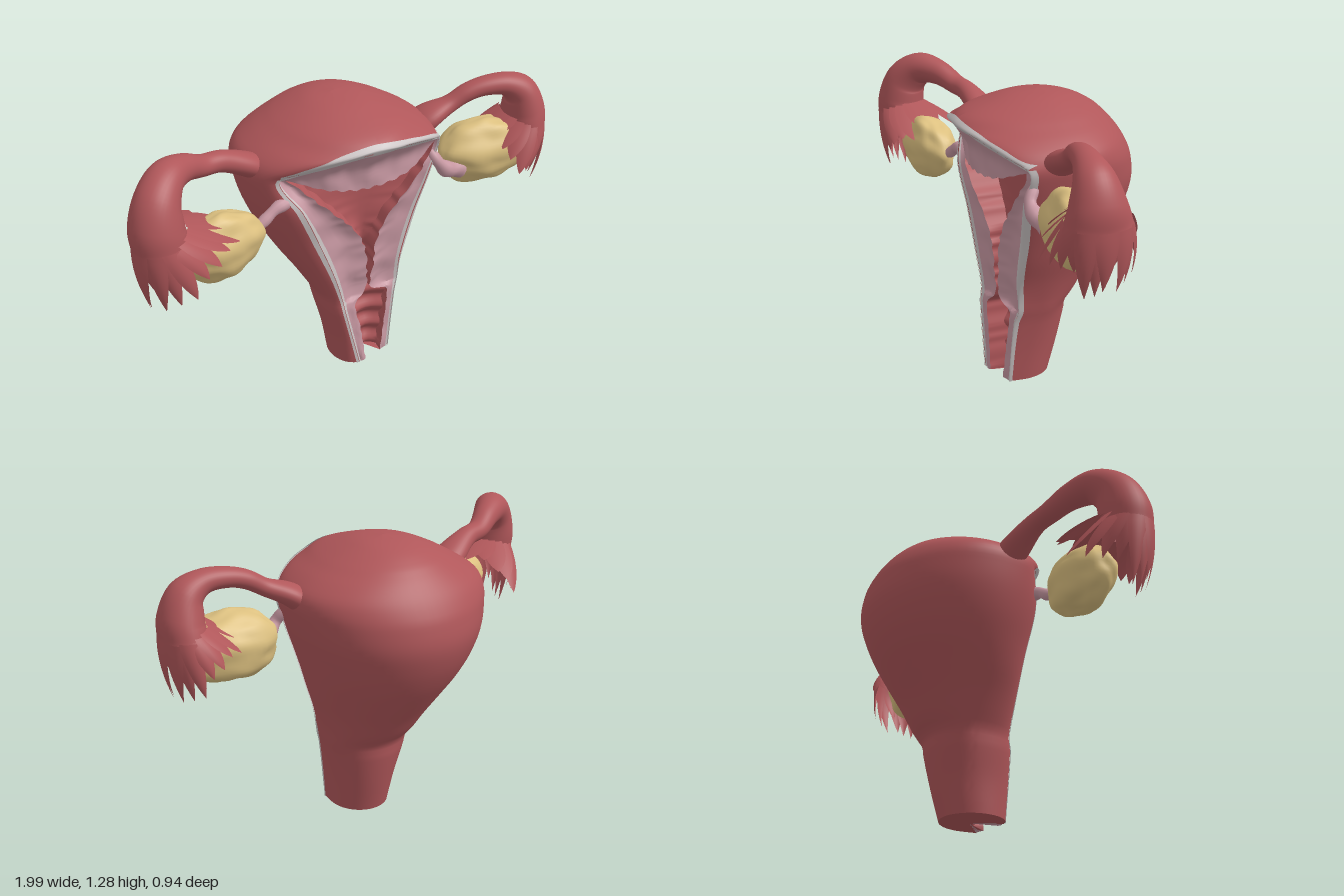
import * as THREE from 'three';
import { mergeVertices, toCreasedNormals } from 'three/addons/utils/BufferGeometryUtils.js';

const V = (x, y, z) => new THREE.Vector3(x, y, z);
const mix = THREE.MathUtils.lerp;
const mat = (name, color, side = THREE.FrontSide) => {
  const m = new THREE.MeshStandardMaterial({ color, side });
  m.name = name;
  return m;
};
// Smooth bumpy noise
const bump = (x, y, z, f) =>
  (Math.sin(f * x + 1.3 * Math.sin(f * 0.7 * y)) + Math.sin(f * 1.1 * y + 1.7 * Math.sin(f * 0.6 * z)) + Math.sin(f * 0.9 * z + 1.1 * Math.sin(f * 0.8 * x))) / 3;

// Surface through a grid of points; the front is columns x rows
function sheet(name, material, rows, crease = 0) {
  const w = rows[0].length, index = [];
  for (let i = 0; i + 1 < rows.length; i++) for (let j = 0; j + 1 < w; j++) {
    const a = i * w + j, b = a + 1, c = b + w, d = a + w;
    index.push(a, b, c, a, c, d);
  }
  let g = new THREE.BufferGeometry().setFromPoints(rows.flat());
  g.setIndex(index);
  g = mergeVertices(g, 1e-5);
  if (crease) g = toCreasedNormals(g, crease); else g.computeVertexNormals();
  const mesh = new THREE.Mesh(g, material);
  mesh.name = name;
  return mesh;
}
const range = (n, f) => Array.from({ length: n + 1 }, (_, i) => f(i / n, i));

// Smooth lookup in a table whose first column is the height
function sample(table, y) {
  let i = 0;
  while (i < table.length - 2 && table[i + 1][0] < y) i++;
  const a = table[i], b = table[i + 1], p = table[i - 1] || a, q = table[i + 2] || b;
  const h = b[0] - a[0], t = THREE.MathUtils.clamp((y - a[0]) / h, 0, 1);
  return a.map((v, k) => {
    const m0 = (b[k] - p[k]) / (b[0] - p[0]) * h, m1 = (q[k] - v) / (q[0] - a[0]) * h;
    return v * (1 + t * t * (2 * t - 3)) + m0 * t * (1 - t) ** 2 + b[k] * t * t * (3 - 2 * t) + m1 * t * t * (t - 1);
  });
}

// Outer wall: height, right x, left x, z of the widest point, back z
const WALL = [
  [0, -.07, .20, .07, -.08], [.15, -.09, .215, .05, -.12], [.3, -.125, .237, .02, -.152], [.355, -.135, .25, 0, -.157],
  [.4, -.16, .258, 0, -.2], [.5, -.22, .285, 0, -.265], [.6, -.285, .32, 0, -.335], [.7, -.345, .35, -.02, -.4],
  [.8, -.395, .38, -.03, -.447], [.9, -.43, .41, -.04, -.47], [1, -.45, .432, -.04, -.456], [1.05, -.453, .437, -.04, -.435],
  [1.1, -.43, .42, -.04, -.405], [1.15, -.36, .36, -.04, -.365], [1.185, -.3, .3, -.04, -.33], [1.21, -.255, .255, -.04, -.3],
  [1.25, -.165, .165, -.04, -.225], [1.273, -.09, .09, -.05, -.14], [1.283, 0, 0, -.05, -.05]];
// Window edges: height, x and z of each edge
const EDGE = [
  [0, .03, .2, .195, .14], [.3, -.04, .2, .228, .125], [.36, -.05, .19, .247, .11], [.5, -.09, .2, .257, .12],
  [.7, -.165, .215, .31, .12], [.9, -.25, .235, .375, .13], [1.05, -.335, .2, .425, .12], [1.1, -.23, .26, .34, .2],
  [1.145, -.1, .31, .2, .28], [1.17, .05, .33, .05, .33], [1.21, .05, .28, .05, .28], [1.25, .03, .16, .03, .16],
  [1.273, .01, .06, .01, .06], [1.283, 0, -.05, 0, -.05]];
// Cavity opening: height, x of each side
const GAP = [
  [0, .065, .152], [.2, .035, .178], [.3, .012, .19], [.335, .02, .185], [.37, .068, .102], [.5, .072, .108], [.6, .062, .115],
  [.7, .02, .15], [.8, -.06, .225], [.9, -.155, .315], [.97, -.225, .365], [1.03, -.29, .4], [1.05, -.305, .408]];

function wallRing(y) {
  const [, XL, XR, zs, zb] = sample(WALL, y), [, xl, zl, xr, zr] = sample(EDGE, y);
  const quarter = (X, x, z, u) => V(mix(x, X, Math.cos(u)), y, mix(zs, z, Math.sin(u)));
  const H = Math.PI / 2;
  return [
    ...range(12, t => quarter(XR, xr, zr, H * (1 - t))),
    ...range(32, t => V((XL + XR) / 2 + (XR - XL) / 2 * Math.cos(Math.PI * t), y, zs + (zb - zs) * Math.sin(Math.PI * t))).slice(1, -1),
    ...range(12, t => quarter(XL, xl, zl, H * t))];
}

// Point on the front of the wall
function wallFront(x, y) {
  const [, XL, XR, zs] = sample(WALL, y), [, xl, zl, xr, zr] = sample(EDGE, y);
  const [X, e, z] = x > (xl + xr) / 2 ? [XR, xr, zr] : [XL, xl, zl];
  const c = THREE.MathUtils.clamp((x - e) / (X - e), 0, 1);
  return V(x, y, mix(zs, z, Math.sqrt(1 - c * c)));
}

// Points across the window: rim 0-1, cut face 1-6, cavity 6-14, cut face 14-19, rim 19-20
function windowRow(y) {
  const [, xl, zl, xr, zr] = sample(EDGE, y), [, g0, g1] = sample(GAP, y), upper = y > .35;
  const rag = upper ? .005 : .002, rim = upper ? .1 : .2;
  const il = g0 + rag * Math.sin(y * 95 + Math.sin(y * 40)), ir = g1 + rag * Math.sin(y * 88 + 2 + Math.sin(y * 47));
  const zMid = x => mix(zl, zr, (x - xl) / (xr - xl));
  const leg = (x0, z0, x1, t) => {
    const s = mix(rim, 1, t), x = mix(x0, x1, s), dip = upper ? .018 * Math.sin(Math.PI * s) : .004;
    return V(x, y, mix(z0, zMid(x1) + .005, s) - dip + .009 * bump(x, y, 0, 38) * Math.sin(Math.PI * t));
  };
  const floor = upper ? .09 : .1 + .012 * Math.sin(y * 65);
  return [
    V(xl, y, zl), ...range(5, t => leg(xl, zl, il, t)),
    ...range(6, t => V(mix(il, ir, t), y, floor - .025 * Math.sin(Math.PI * t))),
    ...range(5, t => leg(xr, zr, ir, 1 - t)), V(xr, y, zr)];
}

// Tube bending down into a bell with a fringe of pointed fingers
function uterineTube(name, o, points, radii, fringe, material) {
  const group = new THREE.Group();
  group.name = name;
  const up = V(0, 1, 0), s = o.clone().cross(up);
  const curve = new THREE.CatmullRomCurve3(points.map(p => V(...p)));
  const rTable = radii.map((r, i) => [i / (radii.length - 1), ...r]);
  const rows = range(56, t => {
    const p = curve.getPoint(t), n = s.clone().cross(curve.getTangent(t)).normalize(), [, r1, r2] = sample(rTable, t);
    return range(36, u => {
      const a = u * Math.PI * 2;
      return p.clone().addScaledVector(n, r1 * Math.cos(a)).addScaledVector(s, r2 * Math.sin(a));
    });
  });
  group.add(sheet('tubeAndBell', material, rows));

  const c = curve.getPoint(1), [r1, r2] = radii.at(-1), count = 10;
  for (let layer = 0; layer < 2; layer++) for (let i = 0; i < count; i++) {
    const mid = (i + layer * .5) / count * Math.PI * 2, inner = ((1 - Math.cos(mid)) / 2) ** 1.7, flank = Math.sin(mid) ** 2;
    const vary = .88 + .17 * Math.sin(i * 2.4 + layer * 1.7);
    const len = mix(fringe.long, .08, inner) * vary * (1 - .1 * layer);
    const flare = mix(.01, fringe.reach, inner) * vary + .035 * flank, half = Math.PI / count * 1.15;
    const finger = range(10, t => range(6, u => {
      const a = mid + (u * 2 - 1) * half * (1 - t ** 2) + .12 * t * t * Math.sin(i * 3.1);
      const f = 1 - .05 * layer, ridge = .016 * Math.sin(Math.PI * u) * t * (1 - t);
      const out = flare * t - .05 * t * t * (1 - inner) + ridge;
      return c.clone().addScaledVector(o, (r1 * f + out) * Math.cos(a) - fringe.sweep * flank * t)
        .addScaledVector(s, (r2 * f + out) * Math.sin(a)).addScaledVector(up, .06 * inner - len * t);
    }));
    group.add(sheet('fringeFinger', material, finger));
  }
  return group;
}

function ovary(name, center, size, tilt, material) {
  let g = new THREE.SphereGeometry(1, 48, 32);
  g.deleteAttribute('uv');
  g.deleteAttribute('normal');
  g = mergeVertices(g, 1e-4);
  const p = g.attributes.position, v = V();
  for (let i = 0; i < p.count; i++) {
    v.fromBufferAttribute(p, i);
    v.multiplyScalar(1 + .08 * bump(v.x + center[0], v.y, v.z, 5.5) + .04 * bump(v.y, v.z, v.x, 10));
    p.setXYZ(i, v.x * size[0], v.y * size[1], v.z * size[2]);
  }
  g.computeVertexNormals();
  const m = new THREE.Mesh(g, material);
  m.name = name;
  m.position.set(...center);
  m.rotation.y = tilt;
  return m;
}

// Tapered cord
function ligament(name, points, r0, r1, material) {
  const curve = new THREE.CatmullRomCurve3(points.map(p => V(...p))), fr = curve.computeFrenetFrames(16);
  return sheet(name, material, range(16, (t, i) => range(12, u => {
    const a = u * Math.PI * 2, r = mix(r0, r1, t) * (1 + .1 * Math.sin(t * 14));
    return curve.getPointAt(t).addScaledVector(fr.normals[i], r * Math.cos(a)).addScaledVector(fr.binormals[i], r * Math.sin(a));
  })));
}

export function createModel() {
  const group = new THREE.Group();
  const M = {
    flesh: mat('red flesh', 0xb0575a, THREE.DoubleSide), cut: mat('pink cut tissue', 0xc798a2),
    rim: mat('pale rim', 0xcbc4c4, THREE.DoubleSide), ovary: mat('yellow ovary', 0xdcc080),
  };

  // Outer wall, closed underneath
  const base = ring => ring.map(() => V(.08, 0, .06));
  const wall = range(72, t => wallRing(1.283 * Math.sin(t * Math.PI / 2)));
  group.add(sheet('uterusWall', M.flesh, [base(wall[0]), ...wall], .9));

  // Cut window with the cavity and canal
  const rows = range(110, t => windowRow(1.05 * t));
  const bands = [['rightRim', 'rim', 0, 1], ['rightCutFace', 'cut', 1, 6], ['cavity', 'flesh', 6, 14],
    ['leftCutFace', 'cut', 14, 19], ['leftRim', 'rim', 19, 20]];
  for (const [name, m, a, b] of bands) {
    const part = rows.map(r => r.slice(a, b + 1));
    group.add(sheet(name, M[m], [base(part[0]), ...part], .9));
  }

  // Pale edge lapping onto the outside of the wall
  const lap = range(60, t => wallRing(1.06 * t));
  group.add(sheet('leftRimLap', M.rim, lap.map(r => r.slice(0, 6).map(p => p.clone().add(V(.004, 0, .002))))));
  group.add(sheet('rightRimLap', M.rim, lap.map(r => r.slice(-2).map(p => p.clone().add(V(-.003, 0, .003))))));

  // Crescent cut face over the cavity
  const arch = new THREE.CatmullRomCurve3(EDGE.slice(6, 10).map(e => V(e[1], e[0], e[2]))
    .concat(EDGE.slice(6, 9).reverse().map(e => V(e[3], e[0], e[4]))));
  const lip = new THREE.CatmullRomCurve3([V(-.3, 1.04, .19), V(-.12, .978, .24), V(.05, .962, .25), V(.24, .978, .21), V(.4, 1.04, .12)]);
  const across = f => range(60, f);
  const lipAt = u => lip.getPoint(u).add(V(0, .005 * Math.sin(u * 75) * Math.sin(Math.PI * u), 0));
  const crescent = (u, s) => {
    const p = lipAt(u).lerp(arch.getPoint(u), s), w = Math.sin(Math.PI * u) * Math.sin(Math.PI * s);
    return p.add(V(0, 0, w * (-.03 + .014 * bump(p.x, p.y, 0, 36))));
  };
  group.add(sheet('cavityRoof', M.flesh, [across(u => lipAt(u).setZ(.06).add(V(0, .03, 0))), across(lipAt)]));
  group.add(sheet('upperCutFace', M.cut, range(10, t => across(u => crescent(u, t * .9)))));
  const rimLap = (u, dy) => {
    const p = arch.getPoint(u);
    return wallFront(p.x, p.y + dy).add(V(0, .004, .005));
  };
  group.add(sheet('upperRim', M.rim, [across(u => crescent(u, .9)), ...range(4, t => across(u => rimLap(u, .024 * t)))]));

  // Tubes
  group.add(uterineTube('rightTube', V(-.865, 0, .5).normalize(),
    [[-.31, .99, .01], [-.43, 1.085, .07], [-.55, 1.145, .11], [-.64, 1.16, .14], [-.73, 1.2, .2], [-.81, 1.208, .27], [-.865, 1.15, .33], [-.885, 1.06, .355], [-.88, .99, .36]],
    [[.06, .07], [.052, .075], [.045, .05], [.045, .05], [.058, .06], [.075, .08], [.095, .095], [.11, .108], [.112, .108]],
    { long: .3, reach: .2, sweep: .1 }, M.flesh));
  group.add(uterineTube('leftTube', V(1, 0, 0),
    [[.3, .98, -.03], [.43, 1.085, -.02], [.54, 1.135, -.01], [.62, 1.18, 0], [.7, 1.2, .01], [.8, 1.195, .02], [.87, 1.15, .02], [.9, 1.06, .015], [.9, .99, .012]],
    [[.06, .07], [.05, .08], [.038, .045], [.04, .045], [.043, .05], [.052, .06], [.075, .085], [.092, .115], [.094, .135]],
    { long: .28, reach: .12, sweep: .06 }, M.flesh));

  // Ovaries and their ligaments
  group.add(ovary('rightOvary', [-.62, .87, .285], [.185, .145, .105], .25, M.ovary));
  group.add(ovary('leftOvary', [.7, .9, .025], [.23, .15, .125], 0, M.ovary));
  group.add(ligament('rightLigament', [[-.31, .945, .2], [-.36, .935, .215], [-.43, .89, .23], [-.5, .87, .25]], .028, .02, M.cut));
  group.add(ligament('leftLigament', [[.4, .98, .09], [.43, .93, .12], [.48, .88, .11], [.55, .86, .08]], .02, .045, M.cut));
  return group;
}
